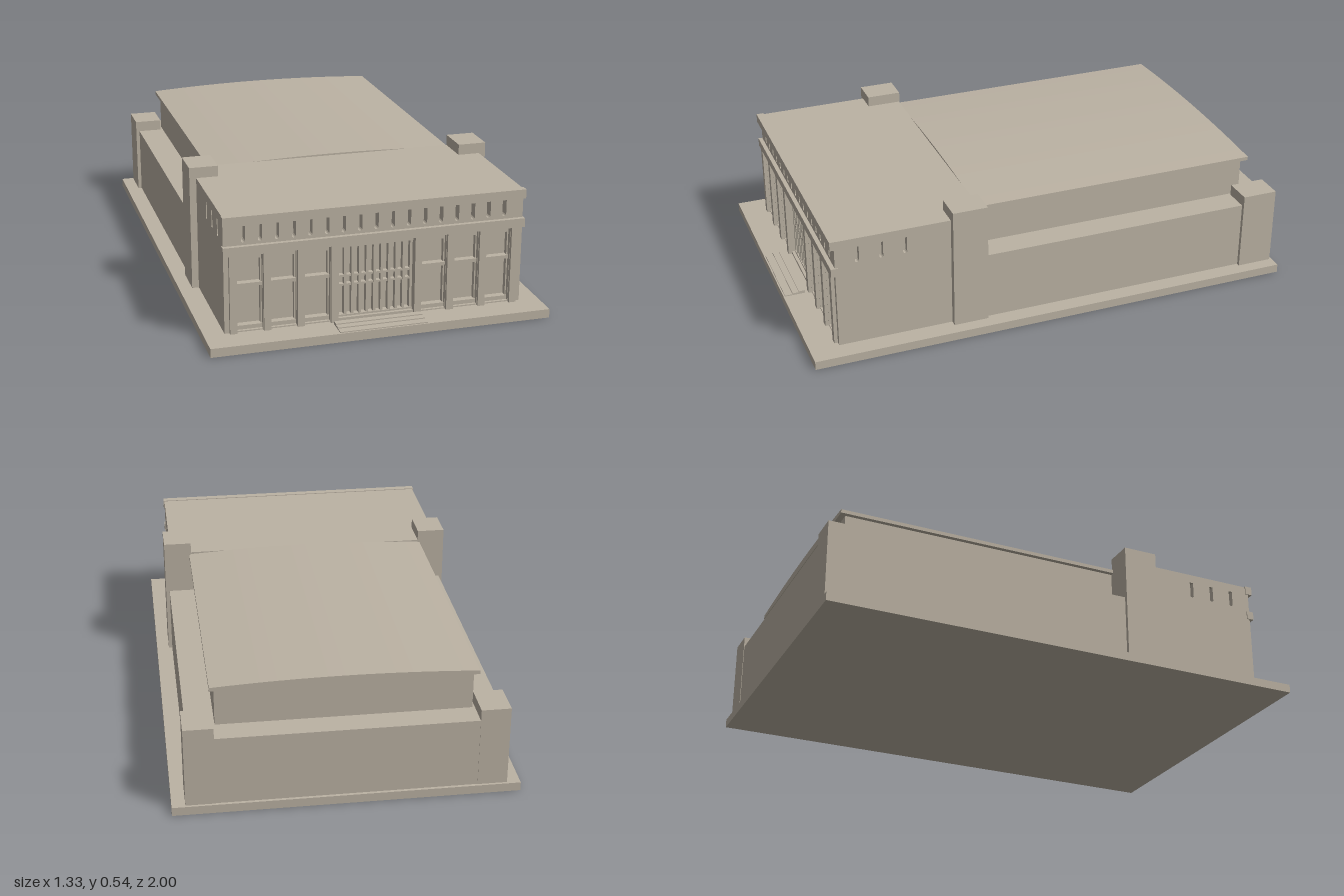
import * as THREE from 'three';

export function createModel() {
  const model = new THREE.Group();
  const stone = new THREE.MeshStandardMaterial({ color: 0xbbb2a3 });
  stone.name = 'warm stone';

  const add = (name, geometry) => {
    const mesh = new THREE.Mesh(geometry, stone);
    mesh.name = name;
    model.add(mesh);
    return mesh;
  };
  // Box given by its limits on each axis
  const box = (name, x0, x1, y0, y1, z0, z1) => {
    const mesh = add(name, new THREE.BoxGeometry(x1 - x0, y1 - y0, z1 - z0));
    mesh.position.set((x0 + x1) / 2, (y0 + y1) / 2, (z0 + z1) / 2);
    return mesh;
  };
  const rect = (Type, x0, x1, y0, y1) => {
    const p = new Type();
    p.moveTo(x0, y0);
    p.lineTo(x1, y0);
    p.lineTo(x1, y1);
    p.lineTo(x0, y1);
    p.closePath();
    return p;
  };
  // Narrow niche with a rounded foot
  const niche = (x) => {
    const p = new THREE.Path();
    const r = 0.008;
    p.moveTo(x + r, 0.458);
    p.lineTo(x - r, 0.458);
    p.lineTo(x - r, 0.395);
    p.quadraticCurveTo(x, 0.385, x + r, 0.395);
    p.closePath();
    return p;
  };
  const wall = (name, shape, depth) =>
    add(name, new THREE.ExtrudeGeometry(shape, { depth, bevelEnabled: false, curveSegments: 4 }));

  const floor = 0.035;
  box('basePlatform', -0.667, 0.667, 0, floor, -1, 1);

  // Rear hall: low outer walls, raised inner hall
  box('lowerHall', -0.6, 0.6, floor, 0.315, -0.988, 0.28);
  box('upperHall', -0.49, 0.49, 0.315, 0.472, -0.885, 0.28);

  // Gently arched hall roof
  const roof = new THREE.Shape();
  roof.moveTo(-0.508, 0.47);
  roof.lineTo(0.508, 0.47);
  for (let i = 0; i <= 16; i++) {
    const t = 1 - i / 8;
    roof.lineTo(0.508 * t, 0.501 - 0.016 * t * t);
  }
  roof.closePath();
  wall('archedRoof', roof, 1.19).position.z = -0.908;

  // Corner towers
  for (const s of [-1, 1]) {
    const a = s < 0 ? -0.615 : 0.5;
    box('frontTower', a, a + 0.115, floor, 0.537, 0.278, 0.42);
    box('rearTower', a, a + 0.115, floor, 0.36, -0.99, -0.845);
  }

  // Front block: core, roof and side walls with niches
  box('frontCore', -0.565, 0.565, floor, 0.49, 0.28, 0.845);
  box('frontRoof', -0.588, 0.588, 0.488, 0.494, 0.28, 0.885);
  for (const s of [-1, 1]) {
    const side = rect(THREE.Shape, -0.845, -0.28, floor, 0.488);
    for (const z of [0.605, 0.7, 0.795]) side.holes.push(niche(-z));
    const mesh = wall('sideWall', side, 0.024);
    mesh.rotation.y = s * Math.PI / 2;
    if (s < 0) {
      // mirrored niches for the right-hand wall
      mesh.geometry.dispose();
      const mirrored = rect(THREE.Shape, 0.28, 0.845, floor, 0.488);
      for (const z of [0.605, 0.7, 0.795]) mirrored.holes.push(niche(z));
      mesh.geometry = new THREE.ExtrudeGeometry(mirrored, { depth: 0.024, bevelEnabled: false, curveSegments: 4 });
    }
    mesh.position.x = s * 0.564;
  }

  // Facade with window bays, central entrance and frieze niches
  const bays = [-0.49, -0.36, -0.23, 0.23, 0.36, 0.49];
  const facade = rect(THREE.Shape, -0.588, 0.588, floor, 0.488);
  for (const x of bays) facade.holes.push(rect(THREE.Path, x - 0.05, x + 0.05, 0.04, 0.343));
  facade.holes.push(rect(THREE.Path, -0.155, 0.155, 0.045, 0.343));
  for (let i = -8; i <= 8; i++) facade.holes.push(niche(i * 0.064));
  wall('facade', facade, 0.038).position.z = 0.845;

  // Projecting bands
  box('topCornice', -0.592, 0.592, 0.461, 0.497, 0.87, 0.9);
  box('middleBand', -0.592, 0.592, 0.345, 0.38, 0.87, 0.9);

  // Pilasters with a narrower front strip
  for (const s of [-1, 1]) {
    for (const x of [0.165, 0.295, 0.425, 0.555]) {
      box('pilaster', s * x - 0.014, s * x + 0.014, floor, 0.345, 0.86, 0.897);
    }
  }

  // Window bays: spandrel, sill, side frames and window panels
  for (const x of bays) {
    box('windowSpandrel', x - 0.05, x + 0.05, 0.21, 0.224, 0.84, 0.872);
    box('windowHead', x - 0.05, x + 0.05, 0.318, 0.343, 0.84, 0.865);
    box('windowSill', x - 0.05, x + 0.05, 0.04, 0.056, 0.84, 0.872);
    for (const s of [-1, 1]) {
      const c = x + s * 0.048;
      box('windowFrame', c - 0.003, c + 0.003, 0.04, 0.343, 0.84, 0.865);
    }
    box('upperPanel', x - 0.042, x + 0.042, 0.23, 0.312, 0.84, 0.85);
  }

  // Entrance lattice
  box('entranceHead', -0.155, 0.155, 0.325, 0.343, 0.84, 0.87);
  box('entranceSill', -0.155, 0.155, 0.04, 0.052, 0.84, 0.87);
  for (let i = 0; i <= 10; i++) {
    const x = -0.145 + i * 0.029;
    box('entranceMullion', x - 0.005, x + 0.005, 0.045, 0.33, 0.84, 0.867);
  }
  for (const y of [0.172, 0.208]) {
    box('entranceTransom', -0.15, 0.15, y - 0.004, y + 0.004, 0.84, 0.865);
  }

  // Shallow entrance steps
  [0.994, 0.962, 0.935].forEach((z, i) =>
    box('entranceStep', -0.172, 0.172, floor, 0.039 + i * 0.004, 0.91, z));

  return model;
}
